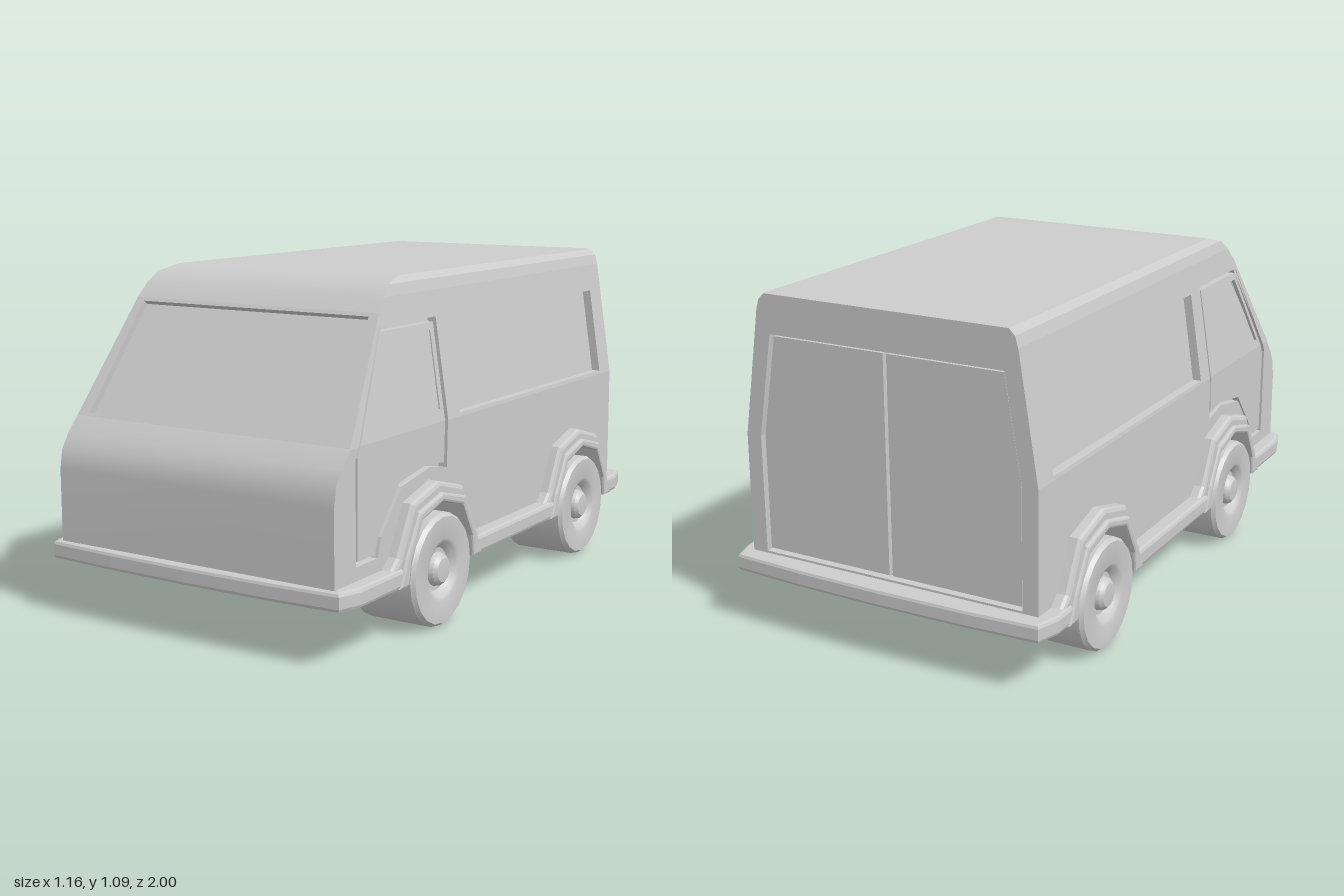
import * as THREE from 'three';
import { toCreasedNormals } from 'three/addons/utils/BufferGeometryUtils.js';

const grey = new THREE.MeshStandardMaterial({ color: 0xcccccc });
const AXLES = [0.44, -0.585];
const BACK = -0.93, BELT = 0.63;

// Half-width of the body at height y
const WIDTHS = [[0, 0.52], [BELT, 0.518], [0.99, 0.462], [1.035, 0.455], [1.07, 0.445], [1.09, 0.425]];
function halfWidth(y) {
  for (let i = 1; i < WIDTHS.length; i++) {
    const [y0, w0] = WIDTHS[i - 1], [y1, w1] = WIDTHS[i];
    if (y <= y1) return w0 + (w1 - w0) * (y - y0) / (y1 - y0);
  }
  return 0.425;
}

// Side profile as (z, y): nose below the windscreen, then roof above it
const NOSE = [[0.965, 0.2], [0.965, 0.47], [0.955, 0.53], [0.925, 0.58], [0.88, BELT]];
const ROOF = [[0.64, 0.99], [0.6, 1.035], [0.555, 1.07], [0.47, 1.09], [0.42, 1.09], [BACK, 1.09]];

const toVectors = pts => pts.map(p => new THREE.Vector2(p[0], p[1]));

// Extrudes a flat outline from depth d0 to d1 and bends it into place with map(u, v, d)
function panel(name, pts, holes, d0, d1, map, bevel = 0) {
  const shape = new THREE.Shape(toVectors(pts));
  holes.forEach(h => shape.holes.push(new THREE.Path(toVectors(h))));
  const geo = new THREE.ExtrudeGeometry(shape, {
    depth: d1 - d0 - 2 * bevel, bevelEnabled: bevel > 0, bevelSize: bevel,
    bevelThickness: bevel, bevelOffset: -bevel, bevelSegments: 2,
  });
  const P = (u, v, d) => new THREE.Vector3(...map(u, v, d));
  const o = P(0.3, 0.5, 0);
  const det = P(0.31, 0.5, 0).sub(o).cross(P(0.3, 0.51, 0).sub(o)).dot(P(0.3, 0.5, 0.01).sub(o));
  const src = geo.attributes.position, out = [];
  for (let i = 0; i < src.count; i += 3) {
    for (const k of det < 0 ? [0, 2, 1] : [0, 1, 2]) {
      out.push(...map(src.getX(i + k), src.getY(i + k), src.getZ(i + k) + d0 + bevel));
    }
  }
  const result = new THREE.BufferGeometry();
  result.setAttribute('position', new THREE.Float32BufferAttribute(out, 3));
  result.computeVertexNormals();
  return mesh(name, result);
}

function mesh(name, geo) {
  const m = new THREE.Mesh(geo, grey);
  m.name = name;
  return m;
}

// Smooth skin spanning the body's width along a profile
function skin(name, profile) {
  const pos = [], index = [];
  profile.forEach(([z, y], i) => {
    const w = halfWidth(y);
    pos.push(-w, y + 0.002, z + 0.002, w, y + 0.002, z + 0.002);
    if (i) {
      const a = 2 * i - 2;
      index.push(a, a + 1, a + 3, a, a + 3, a + 2);
    }
  });
  const geo = new THREE.BufferGeometry();
  geo.setAttribute('position', new THREE.Float32BufferAttribute(pos, 3));
  geo.setIndex(index);
  geo.computeVertexNormals();
  return mesh(name, geo);
}

// Angular wheel arch, listed from rear to front around an axle
const half = { inner: [[0.2, 0.18], [0.19, 0.25], [0.125, 0.365], [0, 0.4]],
  outer: [[0.285, 0.18], [0.275, 0.235], [0.235, 0.27], [0.155, 0.42], [0, 0.462]] };
const arch = (kind, c) => [
  ...half[kind].map(([z, y]) => [c - z, y]),
  ...half[kind].slice(0, -1).reverse().map(([z, y]) => [c + z, y]),
];
const sill = [[BACK, 0.18], ...arch('inner', AXLES[1]), ...arch('inner', AXLES[0]), [0.965, 0.18]];

// Cab door opening and door leaf, split at the belt line
const openLow = [[0.836, BELT], [0.853, 0.6], [0.853, 0.28], [0.735, 0.28], [0.715, 0.34],
  [0.6, 0.47], [0.43, 0.5], [0.325, 0.48], [0.32, BELT]];
const openHigh = [[0.318, BELT], [0.316, 0.953], [0.65, 0.953], [0.836, BELT]];
const leafLow = [[0.822, BELT], [0.839, 0.597], [0.839, 0.293], [0.745, 0.293], [0.726, 0.348],
  [0.606, 0.483], [0.43, 0.514], [0.338, 0.498], [0.333, BELT]];
const leafHigh = [[0.333, BELT], [0.331, 0.938], [0.643, 0.938], [0.822, BELT]];
const cabWindow = [[0.785, 0.66], [0.355, 0.67], [0.355, 0.915], [0.637, 0.915]];
const sideWindow = [[-0.84, 0.642], [0.24, 0.642], [0.24, 0.942], [-0.84, 0.942]];

function bodySide(s) {
  const g = new THREE.Group();
  g.name = s > 0 ? 'leftSide' : 'rightSide';
  const wall = (u, v, d) => [s * (halfWidth(v) - d), v, u];
  const nose = NOSE.slice(1);
  g.add(
    panel('lowerWall', [...sill, ...nose, ...openLow, [BACK, BELT]], [], 0, 0.03, wall),
    panel('upperWall', [[BACK, BELT], ...openHigh, [0.88, BELT], [0.64, 0.99], [BACK, 0.99]], [sideWindow], 0, 0.03, wall),
    panel('lowerLining', [...sill, ...nose, [BACK, BELT]].map(([z, y]) => [Math.min(z, 0.9), y]), [], 0.03, 0.04, wall),
    panel('windowPanes', [[BACK + 0.03, BELT], [0.845, BELT], [0.61, 0.99], [BACK + 0.03, 0.99]], [], 0.03, 0.04, wall),
    panel('lowerDoor', leafLow, [], 0.003, 0.03, wall),
    panel('upperDoor', leafHigh, [cabWindow], 0.003, 0.03, wall),
  );
  // Rounded roof edge in narrow bands
  for (let i = 0; i < 3; i++) {
    const [z0, y0] = ROOF[i], [z1, y1] = ROOF[i + 1];
    g.add(panel('roofEdge', [[BACK, y0], [z0, y0], [z1, y1], [BACK, y1]], [], 0, 0.02, wall));
  }
  // Fenders with deep wheel wells
  for (const c of AXLES) {
    const ring = [...arch('outer', c), ...arch('inner', c).reverse()];
    const at = x => (u, v, d) => [s * (x - d), v, u];
    const lip = [[c - 0.255, 0.18], [c - 0.215, 0.265], [c - 0.14, 0.392], [c, 0.428],
      [c + 0.14, 0.392], [c + 0.215, 0.265], [c + 0.255, 0.18], ...arch('inner', c).reverse()];
    g.add(
      panel('fender', ring, [], 0, 0.09, at(0.56), 0.014),
      panel('fenderLip', lip, [], 0, 0.05, at(0.575), 0.008),
      panel('wheelWell', lip, [], 0, 0.18, at(0.5)),
      panel('wellWall', arch('inner', c), [], 0, 0.01, at(0.33)),
    );
  }
  return g;
}

function createWheel(s, z) {
  const profile = [[0, 0.34], [0.17, 0.34], [0.18, 0.35], [0.18, 0.562], [0.17, 0.575], [0.1, 0.575],
    [0.088, 0.57], [0.068, 0.548], [0.054, 0.548], [0.05, 0.565], [0.038, 0.576], [0, 0.58]];
  const geo = new THREE.LatheGeometry(toVectors(profile), 20);
  geo.rotateZ(-Math.PI / 2);
  if (s < 0) geo.rotateY(Math.PI);
  const wheel = mesh('wheel', toCreasedNormals(geo, 0.6));
  wheel.position.set(0, 0.182, z);
  return wheel;
}

export function createModel() {
  const van = new THREE.Group();
  van.name = 'van';
  van.add(skin('nose', NOSE), skin('roof', ROOF));
  for (const s of [1, -1]) {
    van.add(bodySide(s));
    for (const z of AXLES) van.add(createWheel(s, z));
  }

  // Sloping windscreen: v runs from the belt line to the roof
  const [n0, n1] = [0.832, 0.555];
  const slope = (u, v, d) => [u, BELT + 0.36 * v + 0.002 - d * n1, 0.88 - 0.24 * v + 0.002 - d * n0];
  van.add(
    panel('windscreenFrame', [[-0.518, 0], [0.518, 0], [0.462, 1], [-0.462, 1]],
      [[[-0.472, 0.03], [0.472, 0.03], [0.432, 0.97], [-0.432, 0.97]]], 0, 0.03, slope),
    panel('windscreen', [[-0.48, 0.01], [0.48, 0.01], [0.44, 0.99], [-0.44, 0.99]], [], 0.022, 0.035, slope),
  );

  // Rear wall with a pair of recessed doors
  const rear = (u, v, d) => [u, v, BACK - 0.002 + d];
  const mirrored = pts => [...pts, ...pts.map(([x, y]) => [-x, y]).reverse()];
  const edge = [0.19, BELT, 0.99, 1.035, 1.07, 1.09].map(y => [halfWidth(y), y]);
  const doorway = [[0.465, 0.245], [0.465, BELT], [0.41, 0.965]];
  van.add(
    panel('rearWall', mirrored(edge), [mirrored(doorway)], 0, 0.035, rear),
    panel('rearLining', mirrored(doorway), [], 0.034, 0.04, rear),
  );
  for (const s of [1, -1]) {
    const leaf = [[0.006, 0.253], [0.457, 0.253], [0.457, BELT], [0.403, 0.957], [0.006, 0.957]];
    van.add(panel('rearDoor', leaf.map(([x, y]) => [s * x, y]), [], 0.012, 0.035, rear));
  }

  // Floor plate with bumpers, sills and wheel notches
  const side = [[0.3, 0.995], [0.545, 0.982], [0.57, 0.9]];
  for (const c of AXLES) {
    side.push([0.57, c + 0.2], [0.335, c + 0.2], [0.335, c - 0.2], [0.57, c - 0.2]);
  }
  side.push([0.57, -0.9], [0.545, -0.982], [0.3, -0.995], [0, -1]);
  const floor = [[0, 1], ...side, ...side.slice(0, -1).reverse().map(([x, z]) => [-x, z])];
  van.add(panel('floorAndBumpers', floor, [], 0, 0.06, (u, v, d) => [u, 0.178 + d, v], 0.012));
  return van;
}
